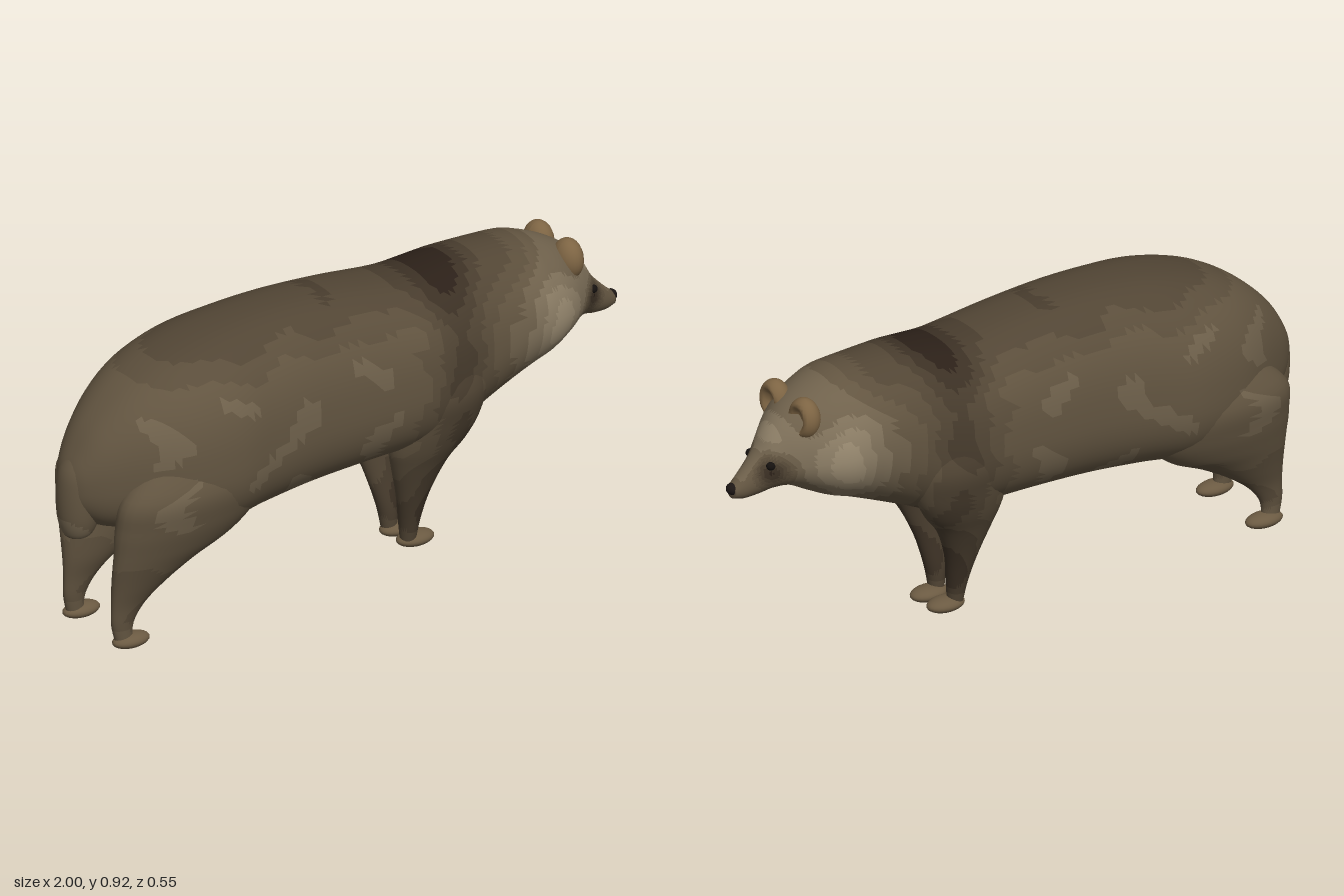
import * as THREE from 'three';

// Fur shades from dark to pale
const DARK = new THREE.Color(0x2b2018), MID = new THREE.Color(0x665843), PALE = new THREE.Color(0xb0a084);
const LEVELS = 12;
const shades = Array.from({ length: LEVELS }, (_, i) => {
  const t = i / (LEVELS - 1);
  const color = t < 0.5 ? DARK.clone().lerp(MID, t * 2) : MID.clone().lerp(PALE, t * 2 - 1);
  return new THREE.MeshStandardMaterial({ color });
});
const plain = (color) => new THREE.MeshStandardMaterial({ color });

const bump = (v, c, r) => Math.exp(-(((v - c) / r) ** 2));
const step = THREE.MathUtils.smoothstep;

// Fur lightness at a point: dark back, shoulders, legs and eye mask, pale cheeks
function tone(x, y, z) {
  let t = 0.48 + 0.04 * Math.sin(x * 21 + 2 * Math.sin(y * 17)) * Math.cos(y * 13 - x * 5);
  t -= 0.22 * step(y, 0.74, 0.92) * (1 - step(x, 0.5, 0.7));
  t -= 0.26 * bump(x, 0.3, 0.13);
  t -= 0.18 * (1 - step(y, 0.1, 0.4)) * step(y, 0.03, 0.1);
  t += 0.35 * bump(x, 0.68, 0.13) * bump(y, 0.64, 0.16);
  t += 0.22 * bump(x, 0.87, 0.06) * bump(y, 0.75, 0.06);
  t -= 0.5 * bump(x, 0.88, 0.045) * bump(y, 0.64, 0.045) * step(Math.abs(z), 0.015, 0.04);
  t -= 0.2 * bump(x, 0.78, 0.1) * bump(y, 0.54, 0.05);
  return t;
}

// Smoothly resample a table of cross-sections
function resample(table, perSpan) {
  const out = [], last = table.length - 1;
  const row = (i) => table[Math.max(0, Math.min(last, i))];
  for (let k = 0; k <= last * perSpan; k++) {
    const i = Math.min(last - 1, Math.floor(k / perSpan)), t = k / perSpan - i;
    out.push(table[0].map((_, c) => {
      const [a, b, d, e] = [row(i - 1)[c], row(i)[c], row(i + 1)[c], row(i + 2)[c]];
      return b + 0.5 * t * (d - a + t * (2 * a - 5 * b + 4 * d - e + t * (3 * (b - d) + e - a)));
    }));
  }
  return out;
}

// Skin a list of rings, close both ends and sort the faces by fur shade
function skin(name, rings) {
  const n = rings[0].length, pos = rings.flat(2), index = [];
  for (let r = 0; r < rings.length - 1; r++) {
    for (let j = 0; j < n; j++) {
      const a = r * n + j, b = r * n + (j + 1) % n;
      index.push(a, a + n, b, b, a + n, b + n);
    }
  }
  [0, rings.length - 1].forEach((r) => {
    const c = pos.length / 3;
    for (let k = 0; k < 3; k++) pos.push(rings[r].reduce((s, p) => s + p[k], 0) / n);
    for (let j = 0; j < n; j++) {
      const a = r * n + j, b = r * n + (j + 1) % n;
      index.push(...(r === 0 ? [c, a, b] : [c, b, a]));
    }
  });
  const whole = new THREE.BufferGeometry();
  whole.setAttribute('position', new THREE.Float32BufferAttribute(pos, 3));
  whole.setIndex(index);
  whole.computeVertexNormals();

  const buckets = shades.map(() => []);
  for (let i = 0; i < index.length; i += 3) {
    const f = index.slice(i, i + 3);
    const mid = [0, 1, 2].map((k) => (pos[f[0] * 3 + k] + pos[f[1] * 3 + k] + pos[f[2] * 3 + k]) / 3);
    const level = Math.round(THREE.MathUtils.clamp(tone(...mid), 0, 1) * (LEVELS - 1));
    buckets[level].push(...f);
  }
  const group = new THREE.Group();
  group.name = name;
  buckets.forEach((faces, i) => {
    if (!faces.length) return;
    const geo = new THREE.BufferGeometry();
    geo.setAttribute('position', whole.attributes.position);
    geo.setAttribute('normal', whole.attributes.normal);
    geo.setIndex(faces);
    const mesh = new THREE.Mesh(geo, shades[i]);
    mesh.name = name + 'Fur';
    group.add(mesh);
  });
  return group;
}

const power = (v, e) => Math.sign(v) * Math.abs(v) ** (2 / e);

// Body sections along x: x, top, bottom, half width, height of the widest point
function bodyLoft(name, table) {
  return skin(name, resample(table, 6).map(([x, top, bottom, w, mid]) => {
    const e = 2.4 - 0.35 * step(x, 0.3, 0.6);
    return Array.from({ length: 64 }, (_, j) => {
      const a = (j / 64) * Math.PI * 2, s = power(Math.sin(a), e);
      return [x, mid + s * (s > 0 ? top - mid : mid - bottom), w * power(Math.cos(a), e)];
    });
  }));
}

// Leg sections going up: y, back x, front x, inner z, outer z
function legLoft(name, table) {
  return skin(name, resample(table, 5).map(([y, x0, x1, z0, z1]) =>
    Array.from({ length: 32 }, (_, j) => {
      const a = (j / 32) * Math.PI * 2;
      return [(x0 + x1) / 2 + Math.cos(a) * (x1 - x0) / 2, y, (z0 + z1) / 2 + Math.sin(a) * (z1 - z0) / 2];
    })));
}

function ellipsoid(name, material, center, radii) {
  const mesh = new THREE.Mesh(new THREE.SphereGeometry(1, 24, 16), material);
  mesh.name = name;
  mesh.position.set(...center);
  mesh.scale.set(...radii);
  return mesh;
}

export function createModel() {
  const model = new THREE.Group();
  model.name = 'animal';

  // Torso, neck, head and snout
  model.add(bodyLoft('body', [
    [-0.985, 0.555, 0.47, 0.03, 0.51],
    [-0.96, 0.61, 0.43, 0.075, 0.52],
    [-0.9, 0.7, 0.38, 0.13, 0.53],
    [-0.8, 0.79, 0.35, 0.195, 0.55],
    [-0.68, 0.855, 0.32, 0.25, 0.55],
    [-0.53, 0.897, 0.305, 0.275, 0.56],
    [-0.38, 0.917, 0.32, 0.257, 0.58],
    [-0.2, 0.923, 0.335, 0.243, 0.6],
    [0, 0.91, 0.345, 0.24, 0.6],
    [0.2, 0.886, 0.35, 0.24, 0.6],
    [0.3, 0.893, 0.35, 0.222, 0.61],
    [0.42, 0.905, 0.4, 0.203, 0.64],
    [0.6, 0.9, 0.475, 0.2, 0.68],
    [0.68, 0.88, 0.505, 0.187, 0.675],
    [0.75, 0.85, 0.54, 0.155, 0.67],
    [0.81, 0.81, 0.57, 0.112, 0.66],
    [0.86, 0.755, 0.57, 0.073, 0.64],
    [0.9, 0.69, 0.56, 0.05, 0.62],
    [0.95, 0.637, 0.557, 0.035, 0.595],
    [0.985, 0.607, 0.565, 0.022, 0.587],
  ]));

  // Short tail hanging against the rump
  model.add(legLoft('tail', [
    [0.338, -0.96, -0.93, -0.015, 0.015],
    [0.355, -0.982, -0.895, -0.045, 0.045],
    [0.41, -0.998, -0.87, -0.065, 0.065],
    [0.5, -1, -0.84, -0.075, 0.075],
    [0.57, -0.985, -0.84, -0.07, 0.07],
    [0.64, -0.93, -0.85, -0.04, 0.04],
  ]));

  // Nose
  model.add(ellipsoid('nose', plain(0x1c1614), [0.982, 0.594, 0], [0.018, 0.018, 0.02]));

  // Paired parts, built on the +z side and mirrored
  [1, -1].forEach((side) => {
    const half = new THREE.Group();
    half.name = side > 0 ? 'rightSide' : 'leftSide';
    half.scale.z = side;
    half.add(legLoft('hindLeg', [
      [0.015, -0.885, -0.83, 0.105, 0.145],
      [0.08, -0.9, -0.825, 0.1, 0.145],
      [0.14, -0.9, -0.78, 0.095, 0.15],
      [0.2, -0.9, -0.7, 0.08, 0.17],
      [0.26, -0.9, -0.6, 0.07, 0.195],
      [0.32, -0.9, -0.48, 0.06, 0.223],
      [0.4, -0.9, -0.4, 0.05, 0.252],
      [0.5, -0.88, -0.38, 0.06, 0.268],
      [0.62, -0.75, -0.45, 0.1, 0.22],
    ]));
    half.add(legLoft('frontLeg', [
      [0.015, 0.195, 0.24, 0.025, 0.07],
      [0.1, 0.182, 0.25, 0.023, 0.09],
      [0.2, 0.157, 0.272, 0.038, 0.12],
      [0.3, 0.125, 0.315, 0.047, 0.158],
      [0.37, 0.105, 0.37, 0.048, 0.19],
      [0.45, 0.1, 0.41, 0.05, 0.217],
      [0.55, 0.12, 0.42, 0.06, 0.235],
      [0.68, 0.2, 0.38, 0.1, 0.19],
    ]));

    // Paws
    const paw = plain(0x6b5a42);
    half.add(ellipsoid('hindPaw', paw, [-0.835, 0.023, 0.127], [0.063, 0.023, 0.037]));
    half.add(ellipsoid('frontPaw', paw, [0.247, 0.023, 0.043], [0.063, 0.023, 0.041]));

    // Rounded ear, hollowed on its front face
    const ear = ellipsoid('ear', plain(0x7d6443), [0.775, 0.8, 0.075], [0.045, 0.064, 0.055]);
    const p = ear.geometry.attributes.position;
    for (let i = 0; i < p.count; i++) {
      const r = Math.hypot(p.getY(i), p.getZ(i));
      if (p.getX(i) > 0) p.setX(i, p.getX(i) - 0.75 * (1 - step(r, 0.2, 0.8)));
    }
    ear.geometry.computeVertexNormals();
    half.add(ear);

    // Eye
    half.add(ellipsoid('eye', plain(0x15110f), [0.88, 0.662, 0.053], [0.014, 0.013, 0.014]));
    model.add(half);
  });
  return model;
}
